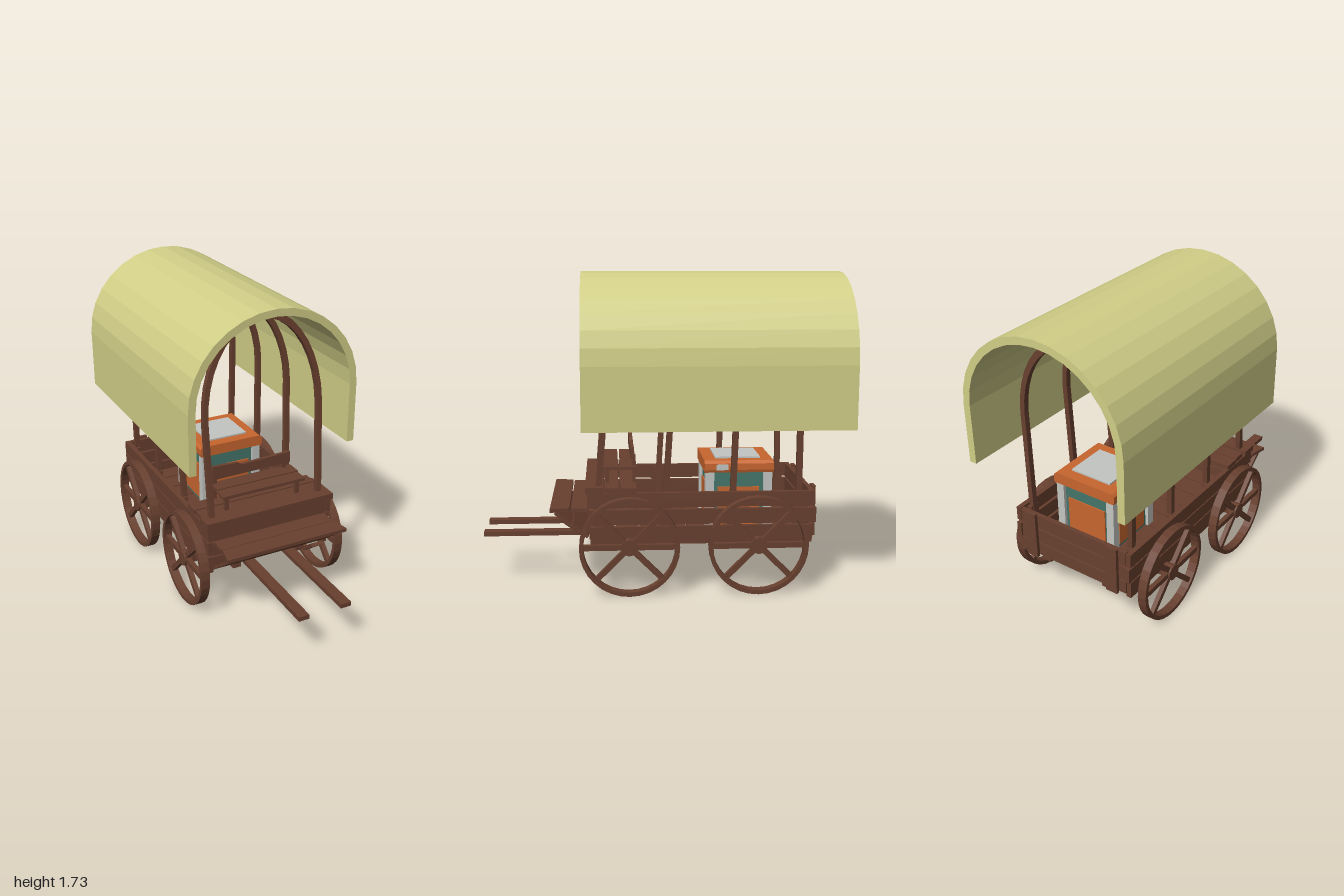
import * as THREE from 'three';

const paint = (name, color) => {
  const m = new THREE.MeshStandardMaterial({ color, flatShading: true });
  m.name = name;
  return m;
};

export function createModel() {
  const wood = paint('brown wood', 0x68402f);
  const cloth = paint('cream canvas', 0xd2cf88);
  const orange = paint('orange paint', 0xc8662f);
  const teal = paint('teal paint', 0x44766a);
  const grey = paint('pale grey metal', 0xc4c6c2);

  const wagon = new THREE.Group();
  wagon.name = 'coveredWagon';

  const add = (name, geometry, material, parent = wagon) => {
    const mesh = new THREE.Mesh(geometry, material);
    mesh.name = name;
    parent.add(mesh);
    return mesh;
  };
  // Box given by its minimum and maximum on each axis
  const box = (name, x0, x1, y0, y1, z0, z1, material = wood, parent = wagon) => {
    const mesh = add(name, new THREE.BoxGeometry(x1 - x0, y1 - y0, z1 - z0), material, parent);
    mesh.position.set((x0 + x1) / 2, (y0 + y1) / 2, (z0 + z1) / 2);
    return mesh;
  };
  // Flat outline in XY pushed along z
  const extrude = (points, depth, holes = []) => {
    const shape = new THREE.Shape(points);
    for (const h of holes) shape.holes.push(new THREE.Path(h));
    return new THREE.ExtrudeGeometry(shape, { depth, bevelEnabled: false });
  };
  const v = (x, y) => new THREE.Vector2(x, y);

  // Half-ellipse on two straight legs, from the right foot over to the left foot
  const archLine = (foot, footY, a, springY, top, steps) => {
    const pts = [v(foot, footY)];
    for (let i = 0; i <= steps; i++) {
      const t = (Math.PI * i) / steps;
      pts.push(v(a * Math.cos(t), springY + (top - springY) * Math.sin(t)));
    }
    pts.push(v(-foot, footY));
    return pts;
  };
  const arch = (outer, inner, depth) => extrude([...outer, ...inner.reverse()], depth);

  // Canvas cover
  const cover = add('canvasCover', arch(
    archLine(0.495, 0.91, 0.495, 1.25, 1.73, 16),
    archLine(0.453, 0.91, 0.453, 1.25, 1.69, 16), 1.445), cloth);
  cover.position.z = -1;

  // Four bent hoops, the front ones leaning back
  [[0.36, 1.68, 0.085], [-0.005, 1.665, 0.06], [-0.37, 1.645, 0.03], [-0.73, 1.62, 0]].forEach(([z, top, lean]) => {
    const h = top - 0.56;
    const hoop = add('hoop', arch(
      archLine(0.342, -0.24, 0.357, 0.57, h, 18),
      archLine(0.312, -0.24, 0.328, 0.57, h - 0.042, 18), 0.032).translate(0, 0, -0.016), wood);
    hoop.position.set(0, 0.56, z);
    hoop.rotation.x = -lean;
  });

  // Bed: side planks with gaps, corner stakes
  for (const s of [-1, 1]) {
    [[0.275, 0.372, 0.405, -0.80], [0.385, 0.467, 0.41, -0.82], [0.48, 0.56, 0.42, -0.81]].forEach(([y0, y1, zf, zb], i) => {
      const x = 0.36 + 0.004 * i;
      box('sidePlank', s * x - 0.014, s * x + 0.014, y0, y1, zb, zf);
    });
    for (const z of [0.36, -0.005, -0.37, -0.73])
      box('sideStake', s * 0.335 - 0.014, s * 0.335 + 0.014, 0.28, 0.55, z - 0.03, z + 0.03);
    box('tailStake', s * 0.27 - 0.035, s * 0.27 + 0.035, 0.29, 0.57, -0.83, -0.81);
    box('floorBeam', s * 0.2 - 0.025, s * 0.2 + 0.025, 0.26, 0.295, -0.79, 0.4);
    box('drawPole', s * 0.125 - 0.03, s * 0.125 + 0.03, 0.27, 0.295, -0.05, 1.0);
  }
  // Floor boards across the bed
  for (let i = 0; i < 9; i++) {
    const z = -0.8 + i * 0.134;
    box('floorBoard', -0.35, 0.35, 0.295, 0.315, z, z + 0.125);
  }
  // Tailgate and front boards
  [[0.3, 0.375], [0.385, 0.467], [0.478, 0.56]].forEach(([y0, y1], i) => {
    box('tailPlank', -0.35, 0.35, y0, y1, -0.81, -0.785);
    box('frontPlank', -0.35, 0.35, y0, y1, 0.385, 0.41 + 0.005 * i);
  });

  // Footboard with its sloping underside
  const tread = add('footboardFront', extrude(
    [v(-0.345, -0.515), v(0.345, -0.515), v(0.365, -0.62), v(-0.365, -0.62)].reverse(), 0.02), wood);
  tread.rotation.x = -Math.PI / 2;
  tread.position.y = 0.455;
  box('footboardBack', -0.345, 0.345, 0.452, 0.472, 0.41, 0.507);
  const slope = Math.atan2(0.14, 0.18);
  for (const t of [0.25, 0.75]) {
    const plank = add('slopingPlank', new THREE.BoxGeometry(0.69, 0.018, 0.108), wood);
    plank.position.set(0, 0.31 + 0.14 * t, 0.415 + 0.18 * t);
    plank.rotation.x = -slope;
  }
  const pedal = add('brakePedal', extrude(
    [v(-0.025, -0.07), v(0.025, -0.07), v(0.037, 0.07), v(-0.037, 0.07)], 0.02), wood);
  pedal.position.set(0.215, 0.35, 0.5);
  pedal.rotation.x = Math.PI / 2 - slope;

  // Driver's deck and bench
  box('deckFront', -0.39, 0.39, 0.56, 0.595, 0.335, 0.43);
  box('deckMiddle', -0.375, 0.375, 0.56, 0.587, 0.25, 0.325);
  box('deckBack', -0.38, 0.38, 0.56, 0.587, 0.155, 0.24);
  for (const x of [-0.22, 0.22]) {
    box('benchBackPost', x - 0.012, x + 0.012, 0.58, 0.74, 0.155, 0.172);
    box('benchLeg', x - 0.012, x + 0.012, 0.58, 0.665, 0.3, 0.32);
  }
  box('benchSeatFront', -0.25, 0.26, 0.663, 0.68, 0.25, 0.335);
  box('benchSeatBack', -0.24, 0.27, 0.663, 0.68, 0.15, 0.24);
  const backrest = add('benchBackrest', extrude([
    v(-0.25, 0.71), v(0.25, 0.715), v(0.25, 0.78), v(-0.06, 0.768), v(-0.09, 0.785), v(-0.235, 0.79)], 0.02), wood);
  backrest.position.z = 0.163;

  // Wheels on two axles
  const circle = (r, n) => Array.from({ length: n }, (_, i) =>
    v(r * Math.cos((2 * Math.PI * i) / n), r * Math.sin((2 * Math.PI * i) / n)));
  const rimGeometry = extrude(circle(0.27, 32), 0.05, [circle(0.247, 32)])
    .translate(0, 0, -0.025).rotateY(Math.PI / 2);
  for (const z of [0.195, -0.5]) {
    box('axle', -0.4, 0.4, 0.25, 0.3, z - 0.03, z + 0.03);
    for (const s of [-1, 1]) {
      const wheel = new THREE.Group();
      wheel.name = 'wheel';
      wheel.position.set(s * 0.42, 0.275, z);
      wagon.add(wheel);
      add('rim', rimGeometry, wood, wheel);
      add('hub', new THREE.CylinderGeometry(0.045, 0.045, 0.046, 12).rotateZ(Math.PI / 2), wood, wheel);
      for (const a of [0, 45, 135]) {
        const spoke = add('spokePair', new THREE.BoxGeometry(0.026, 0.03, 0.5), wood, wheel);
        spoke.rotation.x = THREE.MathUtils.degToRad(a);
      }
    }
  }

  // Chest: teal body, grey corners, orange panels and lid
  const chest = new THREE.Group();
  chest.name = 'chest';
  chest.position.set(0.08, 0.315, -0.41);
  wagon.add(chest);
  box('chestBody', -0.175, 0.175, 0, 0.34, -0.165, 0.165, teal, chest);
  for (const s of [-1, 1]) {
    for (const t of [-1, 1])
      box('chestCorner', s * 0.17 - 0.024, s * 0.17 + 0.024, 0, 0.335, t * 0.16 - 0.024, t * 0.16 + 0.024, grey, chest);
    box('sidePanel', s * 0.178 - 0.004, s * 0.178 + 0.004, 0.02, 0.245, -0.115, 0.115, orange, chest);
    box('endPanel', -0.125, 0.125, 0.02, 0.245, s * 0.168 - 0.004, s * 0.168 + 0.004, orange, chest);
  }
  const lid = [v(-0.2, 0.33), v(0.2, 0.33), v(0.205, 0.345), v(0.205, 0.38), v(0.19, 0.395), v(-0.19, 0.395), v(-0.205, 0.38), v(-0.205, 0.345)];
  add('chestLid', extrude(lid, 0.38).translate(0, 0, -0.19), orange, chest);
  box('lidPlate', -0.13, 0.13, 0.395, 0.404, -0.125, 0.125, grey, chest);
  box('latch', 0.203, 0.21, 0.345, 0.375, 0.06, 0.125, grey, chest);

  return wagon;
}
